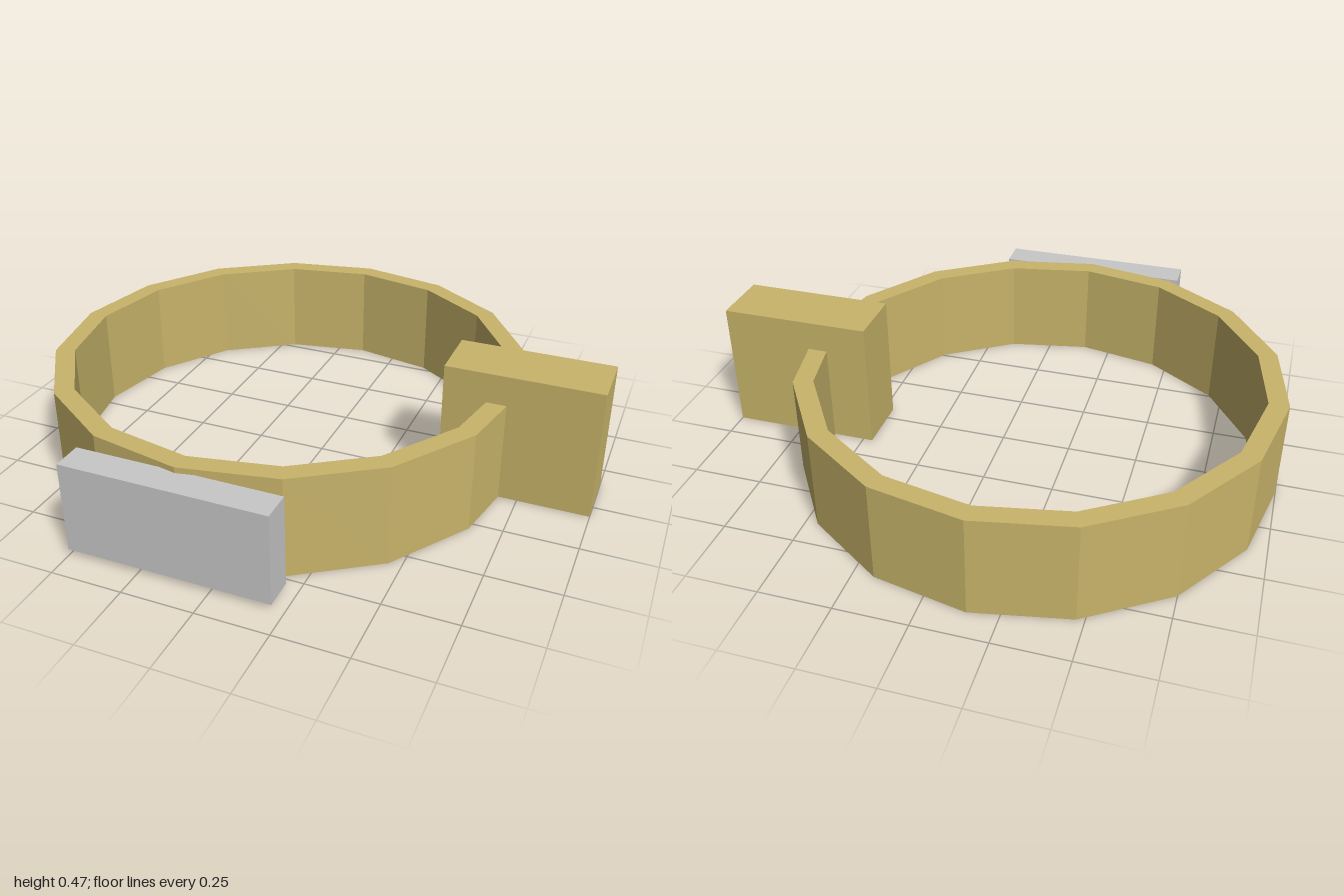
import * as THREE from 'three';

const SIDES = 16;

// Closed regular polygon, with a corner on the +x axis
function polygon(radius) {
  return Array.from({ length: SIDES }, (_, i) => {
    const a = (i / SIDES) * Math.PI * 2;
    return new THREE.Vector2(radius * Math.cos(a), radius * Math.sin(a));
  });
}

export function createModel() {
  const model = new THREE.Group();
  model.name = 'bandWithPlate';

  const gold = new THREE.MeshStandardMaterial({ color: 0xc8b46a });
  gold.name = 'gold';
  const silver = new THREE.MeshStandardMaterial({ color: 0xc8c8c8 });
  silver.name = 'silver';

  function add(name, geometry, material, x, y, z) {
    const mesh = new THREE.Mesh(geometry, material);
    mesh.name = name;
    mesh.position.set(x, y, z);
    model.add(mesh);
  }

  // Sixteen-sided faceted band
  const outline = new THREE.Shape(polygon(0.853));
  outline.holes.push(new THREE.Path(polygon(0.783)));
  const band = new THREE.ExtrudeGeometry(outline, { depth: 0.36, bevelEnabled: false });
  band.rotateX(-Math.PI / 2);
  add('band', band, gold, -0.147, 0, -0.048);

  // Clasp block straddling the band on the left side
  add('clasp', new THREE.BoxGeometry(0.535, 0.467, 0.214), gold, 0.7325, 0.2335, -0.048);

  // Plate on the front of the band
  add('frontPlate', new THREE.BoxGeometry(0.712, 0.32, 0.107), silver, -0.147, 0.18, 0.8465);

  return model;
}
